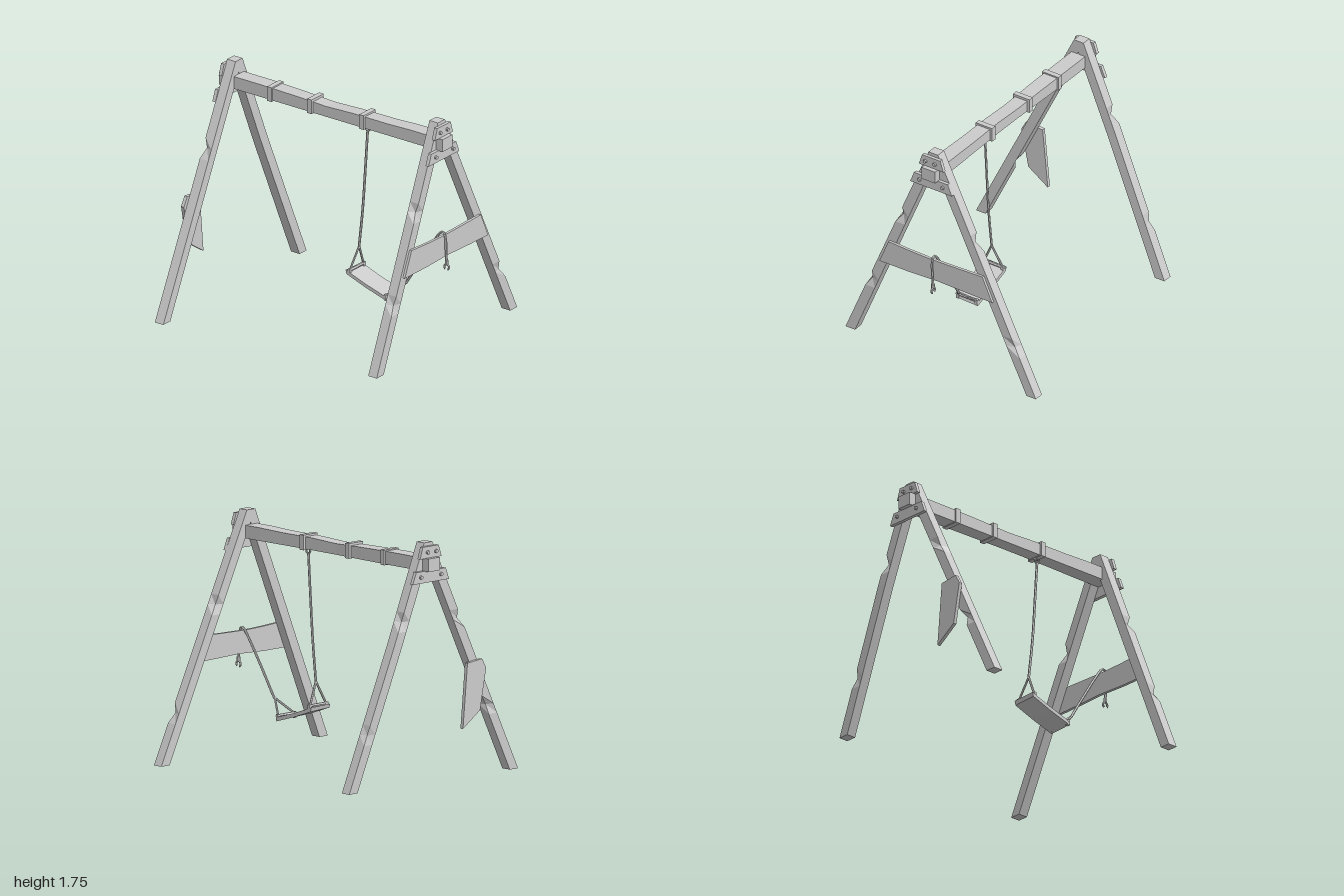
import * as THREE from 'three';

const V = (x, y, z) => new THREE.Vector3(x, y, z);

export function createModel() {
  const root = new THREE.Group();
  const wood = new THREE.MeshStandardMaterial({ color: 0xcccccc, flatShading: true });
  wood.name = 'pale grey';

  function add(name, geo, parent = root) {
    const m = new THREE.Mesh(geo, wood);
    m.name = name;
    parent.add(m);
  }

  // Capped solid through a list of four-cornered cross-sections
  function loft(rings) {
    const pos = [];
    const quad = (a, b, c, d) => [a, b, c, a, c, d].forEach(p => pos.push(p.x, p.y, p.z));
    for (let i = 0; i < rings.length - 1; i++)
      for (let k = 0; k < 4; k++) {
        const n = (k + 1) % 4, p = rings[i], q = rings[i + 1];
        quad(p[k], p[n], q[n], q[k]);
      }
    const f = rings[0], l = rings[rings.length - 1];
    quad(f[3], f[2], f[1], f[0]);
    quad(l[0], l[1], l[2], l[3]);
    // turn the faces outward
    let vol = 0;
    for (let i = 0; i < pos.length; i += 9) {
      const [a, b, c] = [0, 3, 6].map(o => V(pos[i + o], pos[i + o + 1], pos[i + o + 2]));
      vol += a.dot(b.cross(c));
    }
    if (vol < 0)
      for (let i = 0; i < pos.length; i += 9)
        for (let j = 0; j < 3; j++) {
          [pos[i + 3 + j], pos[i + 6 + j]] = [pos[i + 6 + j], pos[i + 3 + j]];
        }
    const g = new THREE.BufferGeometry();
    g.setAttribute('position', new THREE.Float32BufferAttribute(pos, 3));
    g.computeVertexNormals();
    return g;
  }

  // Flat board cut from an outline, z0 = rear face
  function plate(points, z0, depth) {
    const s = new THREE.Shape(points.map(p => new THREE.Vector2(p[0], p[1])));
    return new THREE.ExtrudeGeometry(s, { depth, bevelEnabled: false }).translate(0, 0, z0);
  }

  // Leg with level-cut ends; each chip is [height, corner, depth], footZ bends the lower part
  function leg(name, footX, footY, z, chips, footZ = 0) {
    const top = 1.75, kink = 1.05;
    const ring = (y, corner = -1, cut = 0) => {
      const cx = footX * (top - y) / (top - footY);
      const cz = z + footZ * Math.max(0, (kink - y) / kink);
      return [[-1, -1], [1, -1], [1, 1], [-1, 1]].map(([sx, sz], k) => {
        const c = k === corner ? cut : 0;
        return V(cx + sx * (0.041 - c), y, cz + sz * (0.038 - c));
      });
    };
    const rings = [ring(footY)];
    for (const [y, corner, cut] of chips)
      rings.push(ring(y - 0.07), ring(y, corner, cut), ring(y + 0.07));
    if (footZ) rings.push(ring(kink));
    rings.push(ring(top));
    rings.sort((a, b) => a[0].y - b[0].y);
    add(name, loft(rings));
  }
  leg('frontLeftLeg', 0.85, 0, 0.905, [[0.36, 2, 0.02], [1.1, 1, 0.025]]);
  leg('frontRightLeg', -0.72, 0.015, 0.905, [[0.5, 3, 0.02], [1.13, 3, 0.025]]);
  leg('backRightLeg', -0.85, 0, -0.905, [[0.5, 1, 0.022], [1.16, 0, 0.022]]);
  leg('backLeftLeg', 0.72, 0.015, -0.905, [[0.42, 1, 0.015], [1.2, 1, 0.025]], 0.025);

  // Top beam, worn thinner in the middle
  const beam = [[-1, 0, 0], [-0.62, 0, 0], [-0.3, 0.006, 0.006], [-0.04, 0.015, 0.012],
    [0.2, 0.006, 0.012], [0.5, 0.006, 0.006], [0.72, 0, 0], [1, 0, 0]];
  add('topBeam', loft(beam.map(([z, dy, dx]) => [
    V(-0.062, 1.547, z), V(0.056 - dx, 1.547, z), V(0.056 - dx, 1.642 - dy, z), V(-0.062, 1.642 - dy, z)])));
  for (const z of [0.285, -0.18, -0.54])
    add('beamBand', new THREE.BoxGeometry(0.142, 0.11, 0.04).translate(-0.005, 1.595, z));

  // Apex cleats and bolts at both ends
  for (const s of [1, -1]) {
    const joint = new THREE.Group();
    joint.name = s > 0 ? 'frontCleats' : 'backCleats';
    root.add(joint);
    const z0 = s > 0 ? 0.94 : -0.967;
    add('upperCleat', plate([[-0.108, 1.64], [0.105, 1.64], [0.077, 1.725], [-0.08, 1.725]], z0, 0.027), joint);
    add('lowerCleat', plate([[-0.183, 1.465], [0.178, 1.465], [0.142, 1.55], [-0.15, 1.55]], z0, 0.027), joint);
    for (const [x, y] of [[-0.05, 1.683], [0.032, 1.683], [-0.1, 1.51], [0.1, 1.51]])
      add('bolt', new THREE.CylinderGeometry(0.014, 0.014, 0.016, 6).rotateX(Math.PI / 2)
        .translate(x, y, s * 0.974), joint);
  }

  // Front cross board and the broken board hanging at the back
  add('frontCrossBoard', plate([[-0.455, 0.69], [-0.2, 0.69], [0.05, 0.7], [0.3, 0.693], [0.525, 0.69],
    [0.44, 0.877], [0.2, 0.87], [-0.03, 0.865], [-0.2, 0.87], [-0.375, 0.88]], 0.94, 0.022));
  add('brokenBackBoard', plate([[-0.55, 0.775], [-0.49, 0.475], [-0.32, 0.36], [-0.365, 0.83],
    [-0.51, 0.845]], -0.968, 0.026));

  // Ropes and metal loops
  function rope(name, pts, r = 0.0095) {
    const path = new THREE.CatmullRomCurve3(pts.map(p => V(...p)), false, 'centripetal');
    add(name, new THREE.TubeGeometry(path, pts.length * 4, r, 6));
  }
  function loop(name, x, y, z, r, arc = Math.PI * 2, start = 0) {
    add(name, new THREE.TorusGeometry(r, 0.008, 6, 10, arc)
      .rotateZ(start).rotateY(Math.PI / 2).translate(x, y, z));
  }
  loop('hangingEye', -0.005, 1.527, 0.288, 0.02);
  rope('hangingRope', [[-0.006, 1.51, 0.288], [-0.006, 1.2, 0.267], [-0.006, 0.9, 0.245], [-0.004, 0.59, 0.21]]);
  rope('caughtRope', [[0, 0.41, 0.625], [0.002, 0.45, 0.65], [0.004, 0.62, 0.755], [0.008, 0.8, 0.87],
    [0.01, 0.88, 0.93], [0.01, 0.89, 0.955], [0.01, 0.85, 0.972], [0.014, 0.75, 0.974], [0.02, 0.655, 0.974]]);
  loop('ropeClip', 0.021, 0.62, 0.974, 0.021, Math.PI * 1.65, -Math.PI * 0.33);
  add('clipCollar', new THREE.CylinderGeometry(0.014, 0.014, 0.035, 6).translate(0.02, 0.655, 0.974));

  // Tilted swing seat with end rods and split ropes
  const seat = [[0.168, 0.39], [0.34, 0.329], [0.518, 0.276]];
  add('swingSeat', loft(seat.map(([z, y]) => [
    V(-0.098, y + 0.004, z), V(0.09, y - 0.004, z), V(0.09, y + 0.028, z - 0.008), V(-0.098, y + 0.034, z - 0.008)])));
  const ends = [[0.188, 0.425, 0.59, 0.21], [0.512, 0.312, 0.415, 0.628]];
  for (const [z, y, ty, tz] of ends) {
    add('seatRod', new THREE.CylinderGeometry(0.012, 0.012, 0.19, 6).rotateZ(Math.PI / 2).translate(-0.004, y, z));
    for (const s of [-1, 1]) {
      rope('seatRope', [[-0.004, ty, tz], [-0.004 + s * 0.04, (ty + y) / 2, (tz + z) / 2],
        [-0.004 + s * 0.08, y, z]], 0.0085);
      add('seatCorner', new THREE.BoxGeometry(0.022, 0.045, 0.022).translate(-0.004 + s * 0.082, y - 0.012, z));
    }
  }
  return root;
}
